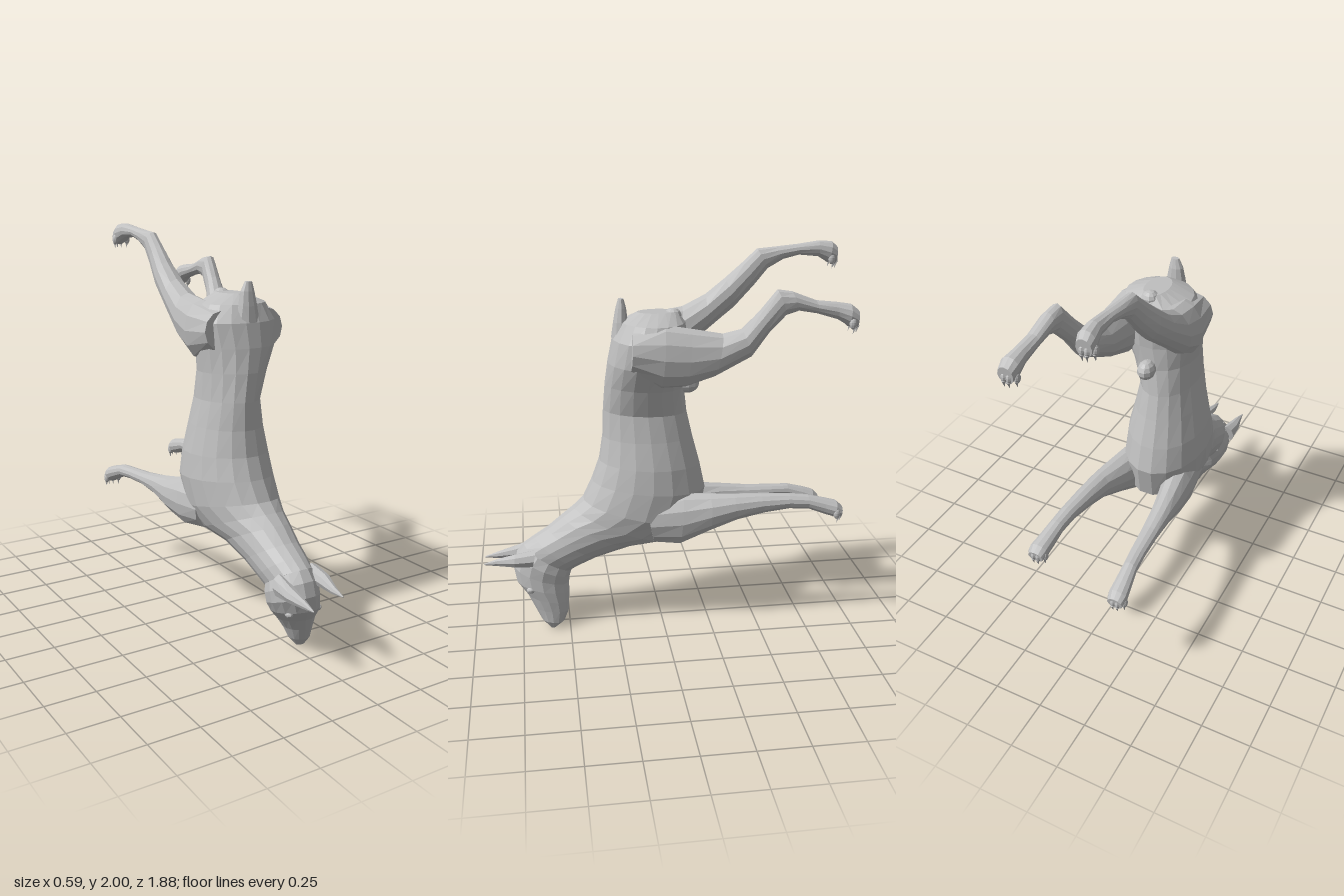
import * as THREE from 'three';

const coat = new THREE.MeshStandardMaterial({ color: 0xc0c0c0 });
coat.name = 'grey coat';

// Faceted mesh from any geometry
function facet(name, geo) {
  const g = geo.index ? geo.toNonIndexed() : geo;
  g.computeVertexNormals();
  const mesh = new THREE.Mesh(g, coat);
  mesh.name = name;
  return mesh;
}

// Skin over oval sections: [x, halfWidth, upper z, upper y, lower z, lower y]
function loft(name, rows, sides) {
  const pos = [], idx = [];
  const mid = r => new THREE.Vector3(r[0], (r[3] + r[5]) / 2, (r[2] + r[4]) / 2);
  for (const r of rows) {
    const c = mid(r), uy = (r[3] - r[5]) / 2, uz = (r[2] - r[4]) / 2;
    for (let i = 0; i < sides; i++) {
      const a = (i / sides) * Math.PI * 2, s = Math.sin(a);
      pos.push(c.x + Math.cos(a) * r[1], c.y + s * uy, c.z + s * uz);
    }
  }
  const n = rows.length, first = mid(rows[0]), last = mid(rows[n - 1]);
  pos.push(...first.toArray(), ...last.toArray());
  // Section turn compared with the travel direction decides the corner order
  const up = new THREE.Vector3(0, rows[0][3] - rows[0][5], rows[0][2] - rows[0][4]);
  const along = mid(rows[1]).sub(first);
  const ahead = new THREE.Vector3(1, 0, 0).cross(up).dot(along) > 0;
  const tri = (a, b, c) => (ahead ? idx.push(a, b, c) : idx.push(a, c, b));
  for (let i = 0; i < sides; i++) {
    const j = (i + 1) % sides;
    for (let k = 0; k < n - 1; k++) {
      const a = k * sides + i, b = k * sides + j;
      tri(a, b, b + sides);
      tri(a, b + sides, a + sides);
    }
    tri(n * sides, j, i);
    tri(n * sides + 1, (n - 1) * sides + i, (n - 1) * sides + j);
  }
  const g = new THREE.BufferGeometry();
  g.setAttribute('position', new THREE.Float32BufferAttribute(pos, 3));
  g.setIndex(idx);
  return facet(name, g);
}

function lump(name, x, y, z, sx, sy, sz) {
  const g = new THREE.SphereGeometry(1, 10, 7);
  g.scale(sx, sy, sz);
  g.translate(x, y, z);
  return facet(name, g);
}

// Leg skin with four clawed toes at the end
function leg(name, rows) {
  const group = new THREE.Group();
  group.name = name;
  group.add(loft(name + 'Limb', rows, 12));
  const [x, w, , , z, y] = rows[rows.length - 1];
  for (let i = 0; i < 4; i++) {
    const t = (i - 1.5) / 1.5, inner = Math.abs(t) < 0.5;
    const tx = x + t * w * 0.95;
    group.add(lump('toe', tx, y + 0.03, z + (inner ? 0.005 : 0.025), 0.015, 0.028, 0.018));
    const claw = new THREE.ConeGeometry(0.009, 0.04, 5);
    claw.rotateX(Math.PI - 0.25);
    claw.translate(tx, y - 0.002, z + (inner ? -0.002 : 0.02));
    group.add(facet('claw', claw));
  }
  return group;
}

export function createModel() {
  const model = new THREE.Group();
  model.name = 'dog';

  // Rump, belly, chest, neck
  model.add(loft('body', [
    [0, 0.06, 0.12, 1.69, -0.08, 1.69],
    [0, 0.17, 0.2, 1.645, -0.12, 1.64],
    [-0.005, 0.22, 0.245, 1.56, -0.13, 1.56],
    [-0.005, 0.2, 0.27, 1.44, -0.12, 1.42],
    [-0.03, 0.165, 0.285, 1.32, -0.12, 1.3],
    [-0.055, 0.145, 0.295, 1.18, -0.14, 1.16],
    [-0.055, 0.17, 0.3, 1.04, -0.17, 1.03],
    [-0.052, 0.2, 0.32, 0.91, -0.21, 0.88],
    [-0.05, 0.215, 0.36, 0.8, -0.24, 0.74],
    [-0.04, 0.21, 0.41, 0.7, -0.2, 0.56],
    [-0.035, 0.18, 0.46, 0.655, -0.05, 0.455],
    [-0.03, 0.15, 0.52, 0.61, 0.15, 0.43],
    [-0.03, 0.13, 0.6, 0.545, 0.33, 0.375],
    [-0.03, 0.12, 0.67, 0.5, 0.44, 0.325],
    [-0.03, 0.11, 0.73, 0.46, 0.48, 0.3],
  ], 18));

  // Skull and muzzle, turned a little to the side
  model.add(loft('head', [
    [-0.03, 0.11, 0.73, 0.46, 0.48, 0.3],
    [-0.03, 0.125, 0.77, 0.41, 0.49, 0.27],
    [-0.028, 0.122, 0.79, 0.34, 0.495, 0.23],
    [-0.01, 0.11, 0.775, 0.26, 0.495, 0.19],
    [0.015, 0.085, 0.72, 0.19, 0.5, 0.14],
    [0.035, 0.064, 0.685, 0.12, 0.505, 0.09],
    [0.05, 0.05, 0.65, 0.05, 0.53, 0.035],
    [0.055, 0.025, 0.61, 0.003, 0.575, 0.003],
  ], 14));

  // Ears and eyes
  for (const [side, x, drop] of [['left', 0.055, 0], ['right', -0.13, 0.035]]) {
    const tip = x + (side === 'left' ? -0.015 : 0.005);
    model.add(loft(side + 'Ear', [
      [x, 0.045, 0.67, 0.455 - drop / 2, 0.69, 0.36 - drop],
      [x, 0.036, 0.78, 0.435 - drop, 0.78, 0.365 - drop],
      [tip, 0.018, 0.87, 0.41 - drop, 0.87, 0.37 - drop],
      [tip, 0.003, 0.94, 0.386 - drop, 0.94, 0.38 - drop],
    ], 8));
    model.add(lump(side + 'Eye', side === 'left' ? 0.075 : -0.09, 0.235, 0.7, 0.02, 0.018, 0.025));
  }

  // Short tail
  model.add(loft('tail', [
    [-0.01, 0.065, 0.25, 1.56, 0.13, 1.6],
    [-0.01, 0.05, 0.238, 1.64, 0.165, 1.65],
    [-0.01, 0.037, 0.225, 1.71, 0.172, 1.71],
    [-0.005, 0.02, 0.212, 1.757, 0.185, 1.757],
  ], 10));

  // Underside lumps
  model.add(lump('bellyLump', -0.02, 1.31, -0.14, 0.045, 0.05, 0.06));
  model.add(lump('rumpLump', 0, 1.665, -0.06, 0.045, 0.04, 0.045));

  // Legs, each in its own pose
  model.add(leg('leftHindLeg', [
    [0.12, 0.1, 0.16, 1.62, 0.17, 1.42],
    [0.135, 0.1, 0, 1.65, 0.02, 1.335],
    [0.145, 0.09, -0.13, 1.63, -0.1, 1.34],
    [0.16, 0.075, -0.28, 1.605, -0.24, 1.39],
    [0.18, 0.06, -0.37, 1.63, -0.42, 1.49],
    [0.2, 0.045, -0.45, 1.72, -0.5, 1.61],
    [0.215, 0.04, -0.53, 1.825, -0.58, 1.7],
    [0.22, 0.04, -0.6, 1.815, -0.64, 1.72],
    [0.225, 0.037, -0.72, 1.77, -0.73, 1.705],
    [0.23, 0.04, -0.82, 1.76, -0.83, 1.675],
    [0.235, 0.05, -0.89, 1.75, -0.88, 1.645],
    [0.237, 0.04, -0.93, 1.72, -0.92, 1.63],
  ]));
  model.add(leg('rightHindLeg', [
    [-0.13, 0.1, 0.16, 1.62, 0.17, 1.42],
    [-0.15, 0.1, 0, 1.66, 0, 1.36],
    [-0.155, 0.09, -0.13, 1.68, -0.1, 1.42],
    [-0.155, 0.075, -0.25, 1.74, -0.24, 1.54],
    [-0.155, 0.06, -0.35, 1.82, -0.4, 1.67],
    [-0.15, 0.045, -0.44, 1.9, -0.5, 1.78],
    [-0.15, 0.038, -0.51, 1.965, -0.57, 1.865],
    [-0.15, 0.036, -0.62, 1.975, -0.65, 1.91],
    [-0.148, 0.034, -0.72, 1.985, -0.73, 1.93],
    [-0.148, 0.037, -0.83, 2.0, -0.83, 1.92],
    [-0.152, 0.046, -0.9, 1.995, -0.88, 1.89],
    [-0.155, 0.038, -0.93, 1.97, -0.92, 1.88],
  ]));
  model.add(leg('leftFrontLeg', [
    [0.07, 0.1, 0.1, 0.72, 0.05, 0.48],
    [0.095, 0.095, -0.1, 0.75, -0.08, 0.47],
    [0.12, 0.08, -0.24, 0.75, -0.24, 0.55],
    [0.14, 0.06, -0.36, 0.75, -0.38, 0.61],
    [0.15, 0.05, -0.5, 0.75, -0.52, 0.645],
    [0.16, 0.042, -0.65, 0.745, -0.65, 0.665],
    [0.165, 0.04, -0.75, 0.735, -0.75, 0.66],
    [0.172, 0.045, -0.84, 0.715, -0.83, 0.63],
    [0.178, 0.05, -0.9, 0.7, -0.88, 0.615],
    [0.18, 0.04, -0.93, 0.67, -0.92, 0.61],
  ]));
  model.add(leg('rightFrontLeg', [
    [-0.15, 0.09, 0.1, 0.72, 0.05, 0.48],
    [-0.175, 0.085, -0.1, 0.72, -0.08, 0.465],
    [-0.195, 0.07, -0.24, 0.69, -0.22, 0.5],
    [-0.21, 0.055, -0.36, 0.67, -0.38, 0.555],
    [-0.22, 0.046, -0.5, 0.65, -0.52, 0.575],
    [-0.23, 0.04, -0.65, 0.64, -0.65, 0.575],
    [-0.24, 0.038, -0.75, 0.635, -0.75, 0.565],
    [-0.247, 0.045, -0.84, 0.61, -0.83, 0.53],
    [-0.25, 0.05, -0.9, 0.59, -0.88, 0.505],
    [-0.25, 0.04, -0.93, 0.56, -0.92, 0.495],
  ]));

  return model;
}
